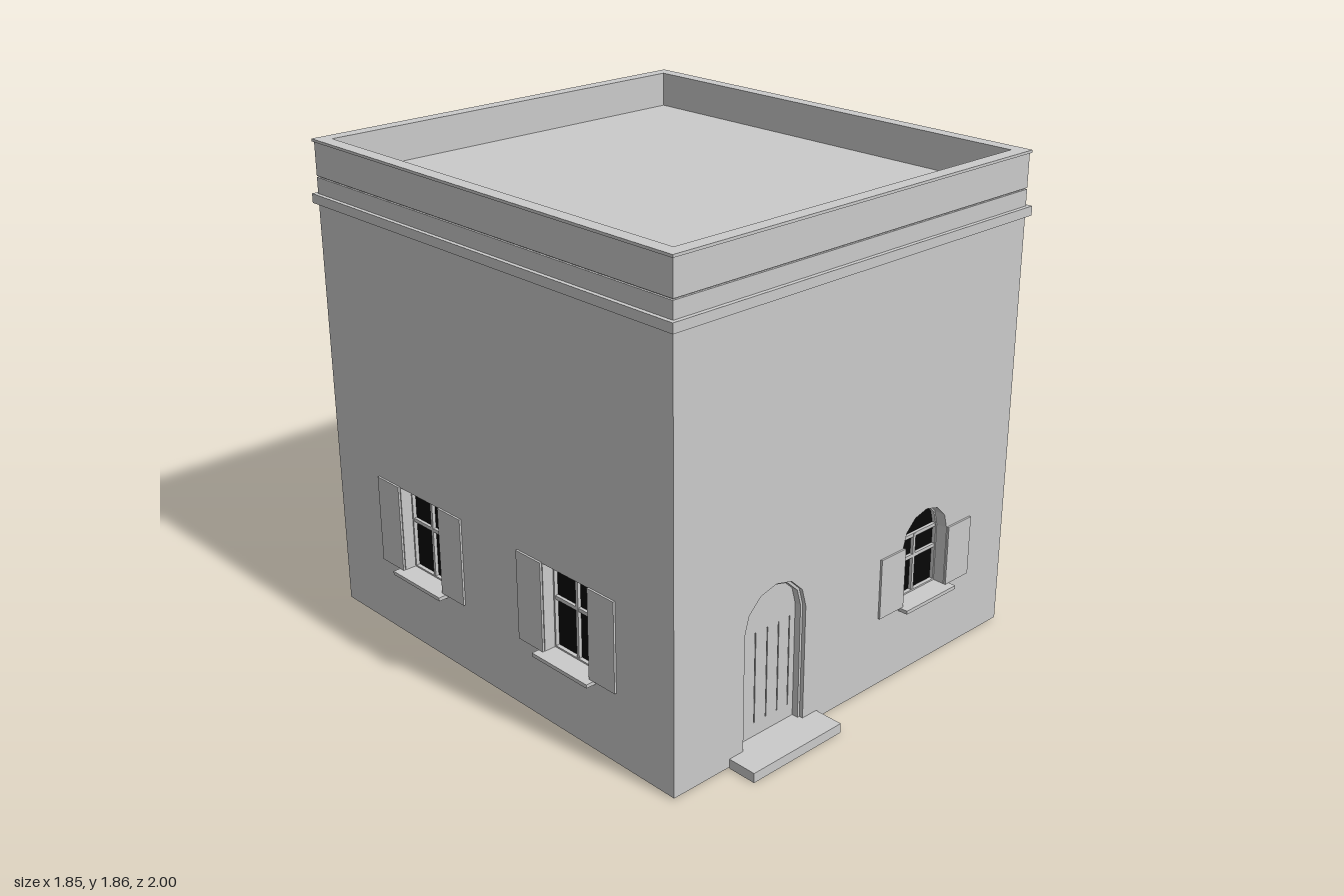
import * as THREE from 'three';

const X0 = -0.885, X1 = 0.83, Z0 = -0.98, Z1 = 0.885; // wall faces
const T = 0.047; // wall thickness
const BASE = 0.005, WALL_TOP = 1.721;

const stone = new THREE.MeshStandardMaterial({ color: 0xcacaca });
stone.name = 'grey plaster';
const dark = new THREE.MeshStandardMaterial({ color: 0x060606 });
dark.name = 'black glass';

function add(parent, name, geometry, material = stone) {
  const mesh = new THREE.Mesh(geometry, material);
  mesh.name = name;
  parent.add(mesh);
  return mesh;
}

// Box given by its limits on each axis
function box(parent, name, x0, x1, y0, y1, z0, z1) {
  const mesh = add(parent, name, new THREE.BoxGeometry(x1 - x0, y1 - y0, z1 - z0));
  mesh.position.set((x0 + x1) / 2, (y0 + y1) / 2, (z0 + z1) / 2);
}

function rectPoints(x0, x1, y0, y1) {
  return [[x0, y0], [x1, y0], [x1, y1], [x0, y1]].map(p => new THREE.Vector2(...p));
}

// Opening with a faceted arch above the spring line
function archPoints(x0, x1, y0, spring, top) {
  const pts = [new THREE.Vector2(x0, y0), new THREE.Vector2(x1, y0)];
  for (let i = 0; i <= 6; i++) {
    const a = i * Math.PI / 6;
    pts.push(new THREE.Vector2((x0 + x1) / 2 + Math.cos(a) * (x1 - x0) / 2,
      spring + Math.sin(a) * (top - spring)));
  }
  return pts;
}

function slab(parent, name, points, holes, z0, z1, material) {
  const shape = new THREE.Shape(points);
  shape.holes = holes.map(h => new THREE.Path(h));
  const geometry = new THREE.ExtrudeGeometry(shape, { depth: z1 - z0, bevelEnabled: false });
  geometry.translate(0, 0, z0);
  return add(parent, name, geometry, material);
}

// Horizontal band around the building
function ring(parent, name, out, inset, y0, y1) {
  const mesh = slab(parent, name, rectPoints(X0 - out, X1 + out, -Z1 - out, -Z0 + out),
    [rectPoints(X0 + inset, X1 - inset, -Z1 + inset, -Z0 - inset)], y0, y1);
  mesh.rotation.x = -Math.PI / 2;
}

function sill(side, u, half) {
  box(side, 'windowSill', u - half, u + half, 0.266, 0.28, -0.04, 0.04);
}

// Glass, thin frame and glazing bars deep inside an opening
function glazing(side, u, half, points, inner, top, bars) {
  slab(side, 'windowGlass', points, [], -0.065, -0.06, dark);
  slab(side, 'windowFrame', points, [inner], -0.06, -0.045);
  box(side, 'verticalBar', u - 0.006, u + 0.006, 0.283, top, -0.06, -0.047);
  for (const y of bars) box(side, 'horizontalBar', u - half, u + half, y - 0.007, y + 0.007, -0.06, -0.048);
}

// Pair of hinged shutters; angle 0 lies flat against the wall
function shutters(side, u, half, y0, y1, width, angle) {
  for (const s of [-1, 1]) {
    const hinge = new THREE.Group();
    hinge.name = 'shutter';
    hinge.position.set(u + s * half, 0, 0.002);
    hinge.rotation.y = -s * angle;
    box(hinge, 'shutterPanel', s > 0 ? 0 : -width, s > 0 ? width : 0, y0, y1, 0, 0.008);
    side.add(hinge);
  }
}

function makeSide(parent, name, x, z, turn) {
  const side = new THREE.Group();
  side.name = name;
  side.position.set(x, 0, z);
  side.rotation.y = turn;
  parent.add(side);
  return side;
}

export function createModel() {
  const house = new THREE.Group();
  house.name = 'house';

  // Front with arched door and arched window
  const front = makeSide(house, 'frontSide', 0, Z1, 0);
  const door = archPoints(-0.565, -0.27, 0.03, 0.48, 0.62);
  const win = archPoints(0.24, 0.488, 0.28, 0.51, 0.63);
  slab(front, 'frontWall', rectPoints(X0, X1, BASE, WALL_TOP), [door, win], -T, 0);
  glazing(front, 0.364, 0.12, win, archPoints(0.246, 0.482, 0.286, 0.51, 0.624), 0.515, [0.425, 0.51]);
  sill(front, 0.37, 0.139);
  shutters(front, 0.367, 0.122, 0.28, 0.515, 0.13, 0);

  // Planked door with narrow open joints
  const joints = [-0.527, -0.472, -0.415, -0.36, -0.307]
    .map(x => rectPoints(x - 0.002, x + 0.002, 0.09, 0.44));
  slab(front, 'doorPlanks', door, joints, -0.055, -0.04);
  slab(front, 'doorBacking', door, [], -0.065, -0.055);
  slab(front, 'doorFrame', door, [archPoints(-0.555, -0.28, 0.031, 0.48, 0.61)], -0.04, -0.015);

  // Step, open underneath
  box(front, 'stepTop', -0.63, -0.2, 0.027, 0.037, -0.04, 0.115);
  box(front, 'stepFront', -0.63, -0.2, 0, 0.027, 0.105, 0.115);
  for (const x of [-0.63, -0.21]) box(front, 'stepEnd', x, x + 0.01, 0, 0.027, 0, 0.105);

  // Side with one closed and one half-open window
  const left = makeSide(house, 'leftSide', X1, 0, Math.PI / 2);
  const half = rectPoints(0.348, 0.568, 0.28, 0.595);
  const closed = rectPoints(-0.476, -0.246, 0.28, 0.595);
  slab(left, 'leftWall', rectPoints(-Z1 + T, -Z0 - T, BASE, WALL_TOP), [half, closed], -T, 0);
  glazing(left, 0.458, 0.107, half, rectPoints(0.354, 0.562, 0.286, 0.589), 0.59, [0.475]);
  sill(left, 0.462, 0.132);
  shutters(left, 0.458, 0.11, 0.28, 0.595, 0.115, 2.17);
  slab(left, 'closedShutter', closed, [], -0.03, -0.015);
  sill(left, -0.359, 0.139);

  // Side with two open windows
  const right = makeSide(house, 'rightSide', X0, 0, -Math.PI / 2);
  const centres = [-0.46, 0.36];
  const openings = centres.map(u => rectPoints(u - 0.12, u + 0.12, 0.28, 0.62));
  slab(right, 'rightWall', rectPoints(Z0 + T, Z1 - T, BASE, WALL_TOP), openings, -T, 0);
  centres.forEach((u, i) => {
    glazing(right, u, 0.117, openings[i], rectPoints(u - 0.114, u + 0.114, 0.286, 0.614), 0.615, [0.475]);
    sill(right, u, 0.143);
    shutters(right, u, 0.121, 0.28, 0.625, 0.13, 0);
  });

  // Back wall, floor and sunken roof
  box(house, 'backWall', X0, X1, BASE, WALL_TOP, Z0, Z0 + T);
  box(house, 'floor', X0 + T, X1 - T, BASE, 0.025, Z0 + T, Z1 - T);
  box(house, 'roof', X0 + T, X1 - T, 1.7, 1.727, Z0 + T, Z1 - T);

  // Cornice and parapet
  ring(house, 'cornice', 0.016, 0.02, 1.625, 1.66);
  ring(house, 'parapetGroove', -0.008, T, WALL_TOP, 1.726);
  ring(house, 'parapet', 0, T, 1.726, 1.852);
  ring(house, 'parapetCap', 0.006, T, 1.852, 1.862);
  return house;
}
